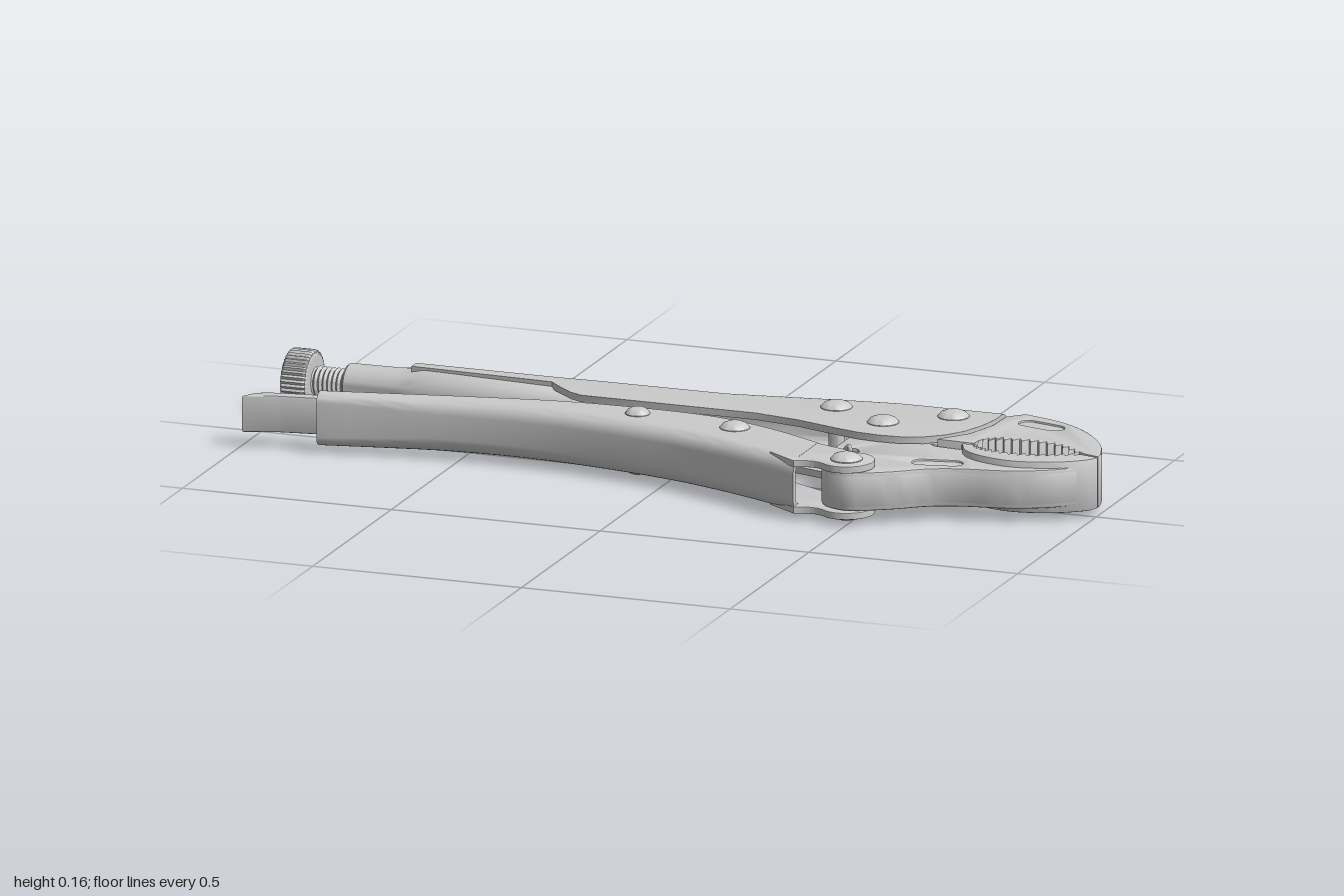
import * as THREE from 'three';
import { toCreasedNormals } from 'three/addons/utils/BufferGeometryUtils.js';

const MID = 0.0775; // height of the tool's centre plane
const V = (p) => new THREE.Vector2(p[0], p[1]);
const material = new THREE.MeshStandardMaterial({ color: 0xcccccc, side: THREE.DoubleSide });

export function createModel() {
  const root = new THREE.Group();

  const add = (name, geo, x = 0, y = MID, z = 0, parent = root) => {
    const mesh = new THREE.Mesh(geo, material);
    mesh.name = name;
    mesh.position.set(x, y, z);
    parent.add(mesh);
    return mesh;
  };
  const spline = (pts, n) => new THREE.SplineCurve(pts.map(V)).getPoints(n);

  // Flat plate: outline given as (x, z) points or a shape, centred on height 0
  const plate = (outline, half, holes = [], bevel = 0.005) => {
    const shape = Array.isArray(outline) ? new THREE.Shape(outline) : outline;
    shape.holes = holes;
    const depth = 2 * (half - bevel);
    const geo = new THREE.ExtrudeGeometry(shape, {
      depth, bevelThickness: bevel, bevelSize: bevel,
      bevelOffset: -bevel, bevelSegments: 2, curveSegments: 24,
    });
    geo.translate(0, 0, -depth / 2).rotateX(Math.PI / 2);
    return toCreasedNormals(geo, 0.6);
  };

  // Rounded slot used as a recess in the jaws
  const slot = (x, z, angle, len, r) => {
    const path = new THREE.Path();
    const dx = Math.cos(angle) * len / 2, dz = Math.sin(angle) * len / 2;
    path.absarc(x + dx, z + dz, r, angle - Math.PI / 2, angle + Math.PI / 2);
    path.absarc(x - dx, z - dz, r, angle + Math.PI / 2, angle + 1.5 * Math.PI);
    path.closePath();
    return path;
  };

  // Bent sheet channel lofted along x; stations are [x, spineZ, openZ, cornerRadius]
  const channel = (stations, half, t) => {
    const pos = [], idx = [], K = 6;
    const s = Math.sign(stations[0][1] - stations[0][2]);
    let n = 0;
    for (const [x, spine, open, rad] of stations) {
      const wall = (inset) => {
        const h = half - inset, back = spine - s * inset;
        const r = Math.max(0.004, Math.min(rad, Math.abs(spine - open) * 0.85) - inset);
        const pts = [[open, h]];
        for (let i = 0; i <= K; i++) {
          const a = (i / K) * Math.PI / 2;
          pts.push([back - s * r * (1 - Math.sin(a)), h - r * (1 - Math.cos(a))]);
        }
        return pts.concat(pts.map(([z, y]) => [z, -y]).reverse());
      };
      const loop = [...wall(0), ...wall(t).reverse()];
      n = loop.length;
      loop.forEach(([z, y]) => pos.push(x, y, z));
    }
    const quad = (a, b, c, d) => (s < 0 ? idx.push(a, b, c, a, c, d) : idx.push(a, c, b, a, d, c));
    const last = (stations.length - 1) * n;
    for (let i = 0; i < stations.length - 1; i++) {
      for (let j = 0; j < n; j++) {
        const k = (j + 1) % n;
        quad(i * n + j, (i + 1) * n + j, (i + 1) * n + k, i * n + k);
      }
    }
    for (let j = 0; j < n / 2 - 1; j++) { // end edges of the sheet
      quad(j, j + 1, n - 2 - j, n - 1 - j);
      quad(last + n - 1 - j, last + n - 2 - j, last + j + 1, last + j);
    }
    const geo = new THREE.BufferGeometry();
    geo.setAttribute('position', new THREE.Float32BufferAttribute(pos, 3));
    geo.setIndex(idx);
    return toCreasedNormals(geo, 0.6);
  };

  // Turned part along +x; profile points are [radius, x]
  const turned = (profile, segs = 32) =>
    toCreasedNormals(new THREE.LatheGeometry(profile.map(V), segs).rotateZ(-Math.PI / 2), 0.6);

  // Fixed handle: channel body with a tubular grip
  const bodyX = [
    [-0.7, -0.239, -0.16, 0.058], [-0.36, -0.24, -0.15, 0.058], [-0.33, -0.24, -0.12, 0.056],
    [-0.29, -0.24, -0.085, 0.054], [-0.26, -0.239, -0.07, 0.052], [0.04, -0.236, -0.07, 0.045],
    [0.16, -0.251, -0.07, 0.04], [0.27, -0.265, -0.05, 0.035], [0.38, -0.278, -0.015, 0.032],
    [0.43, -0.283, -0.002, 0.03], [0.48, -0.284, 0.003, 0.03], [0.53, -0.284, 0, 0.03],
    [0.58, -0.284, -0.018, 0.03], [0.62, -0.284, -0.05, 0.03], [0.65, -0.284, -0.095, 0.03],
    [0.67, -0.284, -0.15, 0.03], [0.68, -0.284, -0.21, 0.03]];
  add('fixedHandle', channel(bodyX, 0.0625, 0.016));
  add('gripTube', turned([[0, -0.86], [0.044, -0.86], [0.048, -0.855], [0.049, -0.73],
    [0.053, -0.7], [0.06, -0.67], [0.06, -0.3], [0.045, -0.27], [0, -0.27]]), 0, MID, -0.18);

  // Adjusting screw with a knurled knob
  const thread = [[0, -0.95]];
  for (let i = 0; i < 9; i++) thread.push([0.028, -0.945 + i * 0.011], [0.035, -0.9395 + i * 0.011]);
  thread.push([0, -0.84]);
  add('adjustingScrew', turned(thread, 24), 0, MID, -0.18);
  const knurl = Array.from({ length: 80 }, (_, i) => {
    const a = (i / 80) * Math.PI * 2, r = i % 2 ? 0.066 : 0.07;
    return new THREE.Vector2(r * Math.cos(a), r * Math.sin(a));
  });
  const knob = new THREE.ExtrudeGeometry(new THREE.Shape(knurl), {
    depth: 0.047, bevelThickness: 0.008, bevelSize: 0.008, bevelOffset: -0.008, bevelSegments: 2 });
  add('knob', knob.rotateY(Math.PI / 2), -0.992, MID, -0.18);

  // Serrated gripping edge along a curve
  const teeth = (pts, dir) => spline(pts, 34).map((p, i) =>
    new THREE.Vector2(p.x, p.y + (i % 2 && i > 2 && i < 32 ? dir * 0.018 : 0)));

  // A jaw plate with shallow recesses on both faces
  const jaw = (name, outline, half, recesses, holes = []) => {
    const g = new THREE.Group();
    g.name = name;
    root.add(g);
    add(name + 'Core', plate(outline, half - 0.005, [...holes]), 0, MID, 0, g);
    add(name + 'Faces', plate(outline, half, [...holes, ...recesses]), 0, MID, 0, g);
  };

  // Upper jaw and the tang held inside the handle
  jaw('upperJaw', [
    ...[[0.61, -0.022], [0.66, -0.09], [0.685, -0.17], [0.688, -0.25]].map(V),
    ...spline([[0.725, -0.286], [0.83, -0.25], [0.91, -0.19], [0.97, -0.11], [0.997, -0.04], [1, -0.012]], 20),
    ...teeth([[0.958, -0.025], [0.9, -0.072], [0.83, -0.09], [0.76, -0.085], [0.712, -0.055], [0.7, -0.018]], 1),
  ], 0.0605, [slot(0.79, -0.21, 0.25, 0.07, 0.022)]);
  add('upperJawTang', plate([[0.42, -0.05], [0.42, -0.23], [0.72, -0.25], [0.7, -0.12], [0.66, -0.03]].map(V), 0.043));

  // Lower jaw plate and its thicker lip around the teeth
  const lowerTeeth = teeth([[0.958, -0.018], [0.9, 0.015], [0.83, 0.035], [0.76, 0.032], [0.715, 0.012], [0.7, -0.012]], -1);
  jaw('lowerJaw', [
    ...[[0.4, -0.08], [0.54, -0.08], [0.61, -0.018], [0.69, -0.012]].map(V),
    ...spline([[0.71, 0.03], [0.83, 0.055], [0.92, 0.03], [0.985, 0]], 10),
    ...spline([[0.98, 0.025], [0.915, 0.08], [0.83, 0.118], [0.73, 0.138], [0.66, 0.165], [0.6, 0.21],
      [0.545, 0.243], [0.49, 0.262], [0.435, 0.235], [0.415, 0.18], [0.4, 0.08]], 36),
  ], 0.045, [slot(0.66, 0.107, -0.2, 0.07, 0.022)], [slot(0.442, 0.083, 0, 0.002, 0.018)]);
  add('lowerJawLip', plate([
    ...lowerTeeth,
    ...spline([[0.675, -0.008], [0.7, 0.04], [0.75, 0.072], [0.83, 0.088], [0.92, 0.066], [0.985, 0.022], [1, -0.008]], 24),
  ], 0.0605));

  // Moving handle: curved channel opening towards the fixed handle
  const leverCurve = new THREE.CatmullRomCurve3([[-0.82, 0.127, 0.1], [-0.66, 0.098, 0.065], [-0.45, 0.076, 0.02],
    [-0.26, 0.08, -0.012], [-0.02, 0.119, -0.02], [0.11, 0.156, -0.005], [0.25, 0.211, 0.045],
    [0.375, 0.268, 0.11]].map((p) => new THREE.Vector3(...p)));
  add('movingHandle', channel(leverCurve.getPoints(32).map((p) => [p.x, p.y, p.z, 0.035]), 0.0625, 0.016));

  // Pivot ears at the end of the moving handle
  for (const side of [1, -1]) {
    const ear = new THREE.Shape();
    ear.moveTo(0.3, 0.215);
    ear.lineTo(0.3, 0.075);
    ear.lineTo(0.375, 0.11);
    ear.lineTo(0.5, 0.154);
    ear.absarc(0.482, 0.213, 0.064, -1.2, 2.0);
    ear.quadraticCurveTo(0.42, 0.24, 0.375, 0.266);
    ear.closePath();
    add('pivotEar', plate(ear, 0.008, [], 0.002), 0, MID + side * 0.054, 0);
  }

  // Release lever with a bent thumb tip
  add('releaseLever', plate([
    ...spline([[-0.995, 0.135], [-0.95, 0.088], [-0.77, 0.058], [-0.53, 0.018], [-0.39, -0.01], [-0.28, -0.066]], 24),
    ...spline([[-0.2, -0.062], [-0.05, 0], [-0.08, 0.06], [-0.4, 0.035], [-0.7, 0.075], [-0.92, 0.11]], 24),
  ], 0.043));

  // Toggle link between the screw and the moving handle
  add('toggleLink', plate(slot(0, 0, 0, 0.4, 0.032).getPoints(12), 0.03), -0.02, MID, -0.005).rotation.y = -0.33;

  // Rivets: domed heads on both faces
  const rivets = [[0.31, -0.18, 0.036], [0.452, -0.1, 0.036], [0.583, -0.2, 0.036],
    [-0.088, 0.027, 0.028], [0.157, 0.06, 0.034], [0.482, 0.213, 0.036]];
  for (const [x, z, r] of rivets) {
    const prof = [[0, -0.0775], [r * 0.5, -0.0765], [r * 0.8, -0.072], [r, -0.064], [r, -0.061],
      [r * 0.5, -0.058], [r * 0.5, 0.058], [r, 0.061], [r, 0.064], [r * 0.8, 0.072], [r * 0.5, 0.0765], [0, 0.0775]];
    add('rivet', toCreasedNormals(new THREE.LatheGeometry(prof.map(V), 28), 0.6), x, MID, z);
  }

  // Tension spring with a hooked wire end
  const from = new THREE.Vector3(0.1, 0, -0.075), to = new THREE.Vector3(0.285, 0, 0.02);
  const axis = to.clone().sub(from).normalize();
  const up = new THREE.Vector3(0, 1, 0), out = axis.clone().cross(up);
  const wire = Array.from({ length: 145 }, (_, i) => {
    const a = (i / 12) * Math.PI * 2;
    return from.clone().lerp(to, i / 144).addScaledVector(up, 0.022 * Math.sin(a)).addScaledVector(out, 0.022 * Math.cos(a));
  });
  for (const [x, y, z] of [[0.31, 0, 0.03], [0.38, 0, 0.065], [0.42, 0.03, 0.08], [0.44, 0.055, 0.085], [0.447, 0.03, 0.09]]) {
    wire.push(new THREE.Vector3(x, y, z));
  }
  add('spring', new THREE.TubeGeometry(new THREE.CatmullRomCurve3(wire), 500, 0.005, 6));

  return root;
}
